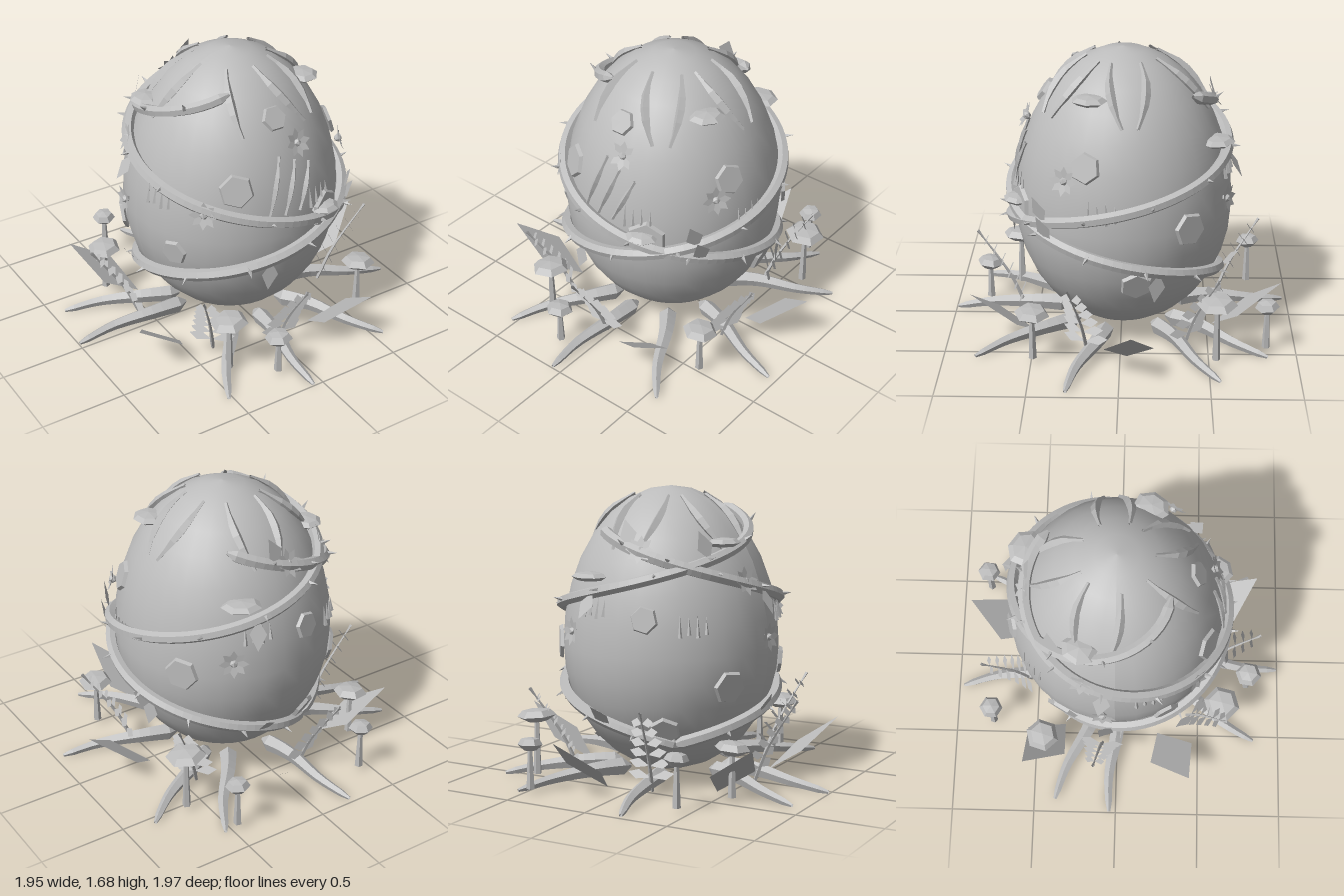
import * as THREE from 'three';

const stone = new THREE.MeshStandardMaterial({ color: 0xbcbcbc, side: THREE.DoubleSide });
stone.name = 'plain grey';
const RAD = Math.PI / 180, R = 0.625, MID = 0.78, TOP = 0.91, LOW = 0.74;
const V = (x, y, z) => new THREE.Vector3(x, y, z);
const flat = (g) => { g = g.index ? g.toNonIndexed() : g; g.computeVertexNormals(); return g; };

function add(parent, geo, name, x = 0, y = 0, z = 0) {
  const m = new THREE.Mesh(flat(geo), stone);
  m.name = name;
  m.position.set(x, y, z);
  parent.add(m);
  return m;
}
function group(parent, name) {
  const g = new THREE.Group();
  g.name = name;
  parent.add(g);
  return g;
}
const half = (y) => (y > MID ? TOP : LOW);
const eggRadius = (y) => R * Math.sqrt(Math.max(0, 1 - ((y - MID) / half(y)) ** 2));
// angle: 0 = front, 90 = the model's left (+x)
const polar = (deg, r, y) => V(r * Math.sin(deg * RAD), y, r * Math.cos(deg * RAD));
const eggNormal = (deg, y) => polar(deg, eggRadius(y) / R ** 2, (y - MID) / half(y) ** 2).normalize();
const onEgg = (deg, y, lift = 0) => polar(deg, eggRadius(y), y).addScaledVector(eggNormal(deg, y), lift);

// group lying on the shell: local z points outwards, local y up the shell
function seat(parent, name, deg, y, lift = 0, spin = 0) {
  const g = group(parent, name), n = eggNormal(deg, y);
  const x = polar(deg + 90, 1, 0);
  g.quaternion.setFromRotationMatrix(new THREE.Matrix4().makeBasis(x, n.clone().cross(x), n));
  g.position.copy(onEgg(deg, y, lift));
  g.rotateZ(spin * RAD);
  return g;
}
// tube whose thickness follows a rule, closed at both ends
function taperedTube(points, segs, sides, radius) {
  const curve = new THREE.CatmullRomCurve3(points);
  const g = new THREE.TubeGeometry(curve, segs, 1, sides), p = g.attributes.position, v = V();
  for (let i = 0; i <= segs; i++) {
    const c = curve.getPointAt(i / segs), k = i === 0 || i === segs ? 0.01 : radius(i / segs);
    for (let j = 0; j <= sides; j++) {
      const n = i * (sides + 1) + j;
      v.fromBufferAttribute(p, n).sub(c).multiplyScalar(k).add(c);
      p.setXYZ(n, v.x, v.y, v.z);
    }
  }
  return g;
}
// flat diamond leaf growing along +y
function diamond(w, h, wide = 0.45) {
  const s = new THREE.Shape([[0, 0], [w / 2, h * wide], [0, h], [-w / 2, h * wide]].map((a) => new THREE.Vector2(...a)));
  return new THREE.ShapeGeometry(s);
}

function addVine(parent, from, to, y0, y1, leaves) {
  const vine = group(parent, 'vine'), pts = [], n = 40;
  const at = (t) => [from + (to - from) * t, y0 + (y1 - y0) * t];
  for (let i = 0; i <= n; i++) pts.push(onEgg(...at(i / n), 0.026));
  add(vine, taperedTube(pts, 90, 6, (t) => 0.036 - 0.004 * t), 'vineStem');
  for (let i = 1; i < 15; i++) {
    const s = seat(vine, 'thornSeat', ...at(i / 15), 0.07, i * 50);
    add(s, new THREE.ConeGeometry(0.016, 0.07, 4), 'thorn').rotation.x = Math.PI / 2 - 0.3;
  }
  leaves.forEach((t, i) => {
    const s = seat(vine, 'vineLeafSeat', ...at(t), 0.04, i % 2 ? 170 : 20);
    add(s, diamond(0.1, 0.17), 'vineLeaf').rotation.x = 0.25;
  });
}

function addFlower(parent, deg, y) {
  const f = seat(parent, 'flower', deg, y, 0.035);
  for (let i = 0; i < 8; i++) {
    const petal = group(f, 'petalArm');
    petal.rotation.z = i * Math.PI / 4;
    add(petal, diamond(0.045, 0.085, 0.55), 'petal').rotation.x = 0.2;
  }
  add(f, new THREE.IcosahedronGeometry(0.025, 0), 'flowerHeart');
}

function addMushroom(parent, x, z, y, r, spin) {
  const m = group(parent, 'mushroom');
  m.position.set(x, 0, z);
  m.rotation.y = spin;
  add(m, new THREE.CylinderGeometry(0.013, 0.024, y - 0.04, 5), 'mushroomStem', 0, y / 2 + 0.02, 0);
  const prof = [[0, -0.03], [r * 0.5, -0.03], [r, 0.002], [r * 0.72, 0.035], [0, 0.045]];
  const cap = add(m, new THREE.LatheGeometry(prof.map((p) => new THREE.Vector2(...p)), 6), 'mushroomCap', 0, y, 0);
  cap.rotation.set(0.08, 0, 0.06);
}

function addFern(parent, deg) {
  const f = group(parent, 'fern');
  f.rotation.y = deg * RAD;
  const stem = [V(0, 0.04, 0.57), V(0, 0.25, 0.66), V(0, 0.54, 0.85)], curve = new THREE.CatmullRomCurve3(stem);
  add(f, taperedTube(stem, 10, 4, (t) => 0.013 * (1 - 0.7 * t)), 'fernStem');
  for (let i = 0; i < 6; i++) {
    const p = curve.getPointAt(0.16 + i * 0.14), len = 0.135 - i * 0.015;
    for (const side of [-1, 1]) {
      const leaf = add(f, diamond(0.055, len, 0.6), 'fernLeaf', p.x, p.y, p.z);
      leaf.rotation.set(-0.5, 0, -side * 1.35);
    }
  }
}

// thin many-sided plate lying on the shell
function addPatch(parent, deg, y, r, spin) {
  const s = seat(parent, 'mossPatch', deg, y, 0.012, spin);
  const g = new THREE.CylinderGeometry(r * 0.9, r, 0.02, 6);
  g.rotateX(Math.PI / 2);
  add(s, g, 'mossPlate');
}

// shelf growing level from the shell
function addShelf(parent, deg, y, r) {
  const p = polar(deg, eggRadius(y) + 0.02, y), g = new THREE.SphereGeometry(1, 7, 4);
  g.scale(r * 1.05, 0.028, r * 0.9);
  add(parent, g, 'shelfFungus', p.x, p.y, p.z).rotation.y = deg * RAD;
}

// raised pointed ridge that bends with the shell
function addRidge(parent, a0, y0, a1, y1, w) {
  const pts = [0, 0.25, 0.5, 0.75, 1].map((t) => onEgg(a0 + (a1 - a0) * t, y0 + (y1 - y0) * t, 0.006));
  add(parent, taperedTube(pts, 6, 4, (t) => w * Math.sin(Math.PI * t)), 'shellRidge');
}

export function createModel() {
  const model = new THREE.Group();
  model.name = 'overgrownEgg';
  const egg = group(model, 'egg');
  egg.position.set(0.02, 0, -0.01);

  // shell: a ball drawn out more above its widest line than below
  const ball = new THREE.SphereGeometry(1, 32, 16), p = ball.attributes.position;
  for (let i = 0; i < p.count; i++) p.setXYZ(i, p.getX(i) * R, MID + p.getY(i) * half(MID + p.getY(i)), p.getZ(i) * R);
  ball.computeVertexNormals();
  const shell = new THREE.Mesh(ball, stone);
  shell.name = 'shell';
  egg.add(shell);

  // two vines winding opposite ways
  addVine(egg, -210, 215, 1.45, 0.29, [0.08, 0.27, 0.62, 0.75, 0.9]);
  addVine(egg, -150, 327, 0.3, 1.55, [0.12, 0.29, 0.42, 0.66, 0.8]);

  // ridges near the crown
  for (const [a, lean] of [[5, 20], [50, -14], [72, 18], [118, -18], [152, 16], [205, -18], [225, 20], [278, -12], [322, 14]])
    addRidge(egg, a, 1.64, a + lean, 1.36, 0.027);
  // claw marks
  for (let i = 0; i < 3; i++) addRidge(egg, -12 + i * 9, 0.92, -3 + i * 10, 1.25 - i * 0.04, 0.018);

  // tufts of short spikes
  for (const [a, y] of [[20, 0.97], [80, 0.93], [-72, 1.0], [-140, 0.97], [165, 1.05]])
    for (let i = 0; i < 4; i++) {
      const s = seat(egg, 'tuft', a + (i - 1.5) * 4.5, y, 0.012);
      add(s, new THREE.ConeGeometry(0.012, 0.13 - (i % 2) * 0.03, 4), 'spike');
    }

  // plates and shelves
  for (const [a, y, r, s] of [[-29, 1.1, 0.1, 15], [0, 1.43, 0.075, 30], [25, 0.84, 0.12, 0], [70, 1.16, 0.09, 10],
    [126, 0.8, 0.1, 20], [98, 0.49, 0.095, 0], [-120, 0.62, 0.1, 25], [-155, 0.38, 0.09, 5], [-62, 0.68, 0.08, 40], [-165, 1.0, 0.08, 15]])
    addPatch(egg, a, y, r, s);
  for (const [a, y, r] of [[64, 1.49, 0.1], [157, 1.21, 0.11], [-114, 1.4, 0.1], [23, 0.87, 0.09]]) addShelf(egg, a, y, r);

  for (const [a, y] of [[9, 1.29], [-45, 0.97], [60, 1.08], [-96, 0.87], [152, 0.9], [-108, 1.18], [-170, 1.35]]) addFlower(egg, a, y);

  // roots spreading on the ground
  for (const a of [192, 147, 124, 73, 34.5, -3.5, -32, -92.3, -112]) {
    const pts = [polar(a + 3, 0.3, 0.08), polar(a + 2, 0.52, 0.085), polar(a - 1, 0.78, 0.055), polar(a, 0.995, 0.02)];
    add(model, taperedTube(pts, 12, 5, (t) => 0.055 - 0.037 * t), 'root');
  }

  // large diamond leaves leaning outwards
  for (const a of [94, 27, -63, -126, 165]) {
    const arm = group(model, 'groundLeaf');
    arm.rotation.y = a * RAD;
    add(arm, diamond(0.28, 0.52), 'groundLeafBlade', 0, 0.02, 0.55).rotation.x = 0.9;
  }

  for (const a of [-1, 71, 130, 196, -99, -41]) addFern(model, a);

  [[-0.43, -0.77, 0.3, 0.07], [0.46, -0.83, 0.29, 0.07], [0.61, -0.54, 0.38, 0.115], [0.61, 0.49, 0.31, 0.1],
    [-0.17, 0.8, 0.26, 0.08], [-0.39, 0.63, 0.35, 0.11], [-0.6, -0.45, 0.31, 0.1]].forEach((m, i) => addMushroom(model, ...m, i));

  return model;
}
